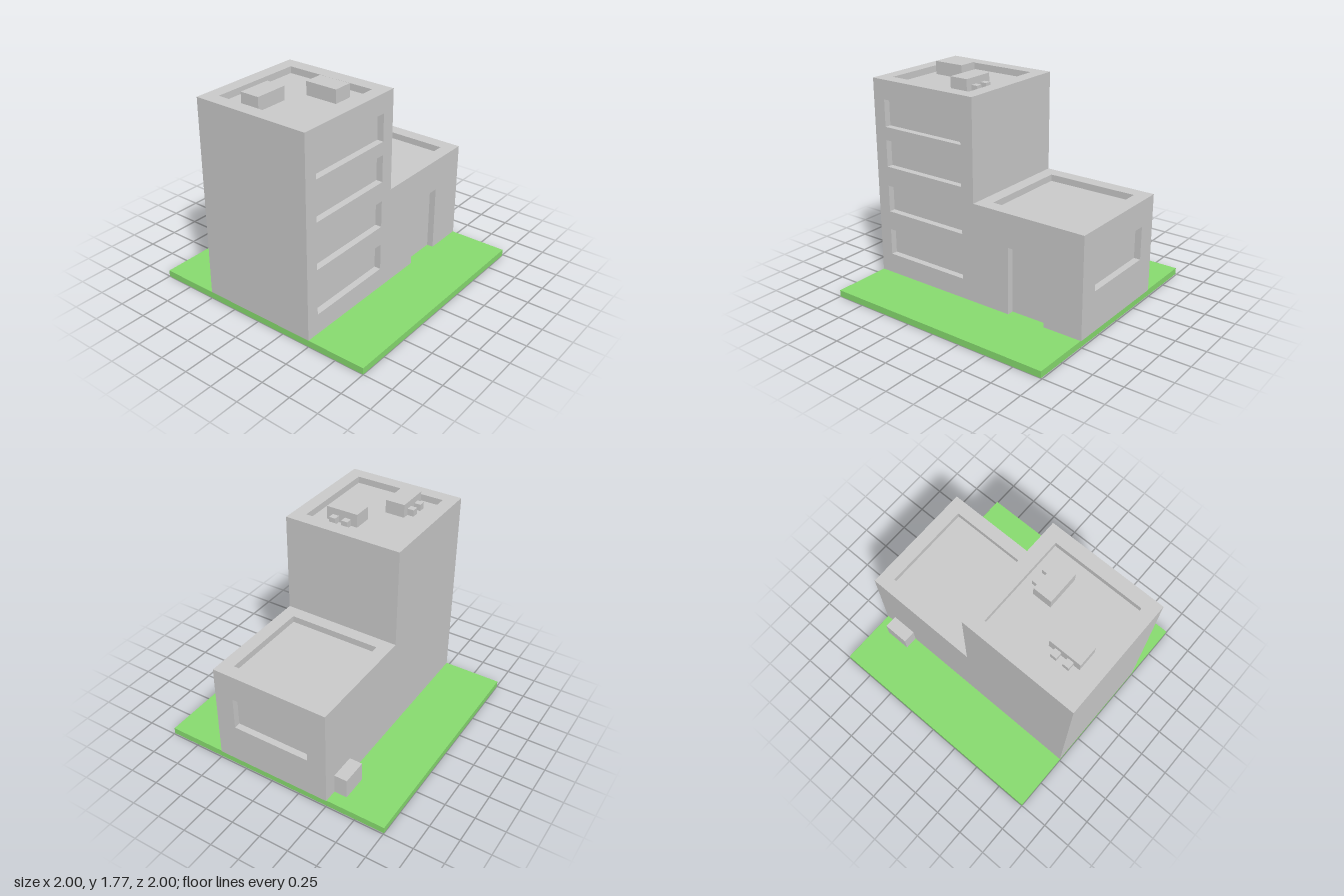
import * as THREE from 'three';

const grey = new THREE.MeshStandardMaterial({ color: 0xcccccc });
const green = new THREE.MeshStandardMaterial({ color: 0x88dd70 });

const GROUND = 0.055, DEPTH = 0.055;      // lawn top, depth of every recess
const TOWER = 1.72, ANNEX = 0.89;         // roof rim heights
const LEFT = -1, MID = 0, RIGHT = 0.995;  // x limits of the two blocks
const HALF = 0.5;                         // half depth of the building

const rectPoints = ([x0, x1, y0, y1]) =>
  [[x0, y0], [x1, y0], [x1, y1], [x0, y1]].map(p => new THREE.Vector2(...p));

function box(name, [x0, x1], [y0, y1], [z0, z1], material = grey) {
  const mesh = new THREE.Mesh(new THREE.BoxGeometry(x1 - x0, y1 - y0, z1 - z0), material);
  mesh.position.set((x0 + x1) / 2, (y0 + y1) / 2, (z0 + z1) / 2);
  mesh.name = name;
  return mesh;
}

// Inward-facing tray sunk behind z = 0, open at the front (and optionally below)
function recess(name, [x0, x1, y0, y1], openBelow = false) {
  const geo = new THREE.BoxGeometry(x1 - x0, y1 - y0, DEPTH);
  const index = Array.from(geo.index.array);
  const omitted = openBelow ? [3, 4] : [4];
  geo.setIndex(index.filter((_, i) => !omitted.includes(Math.floor(i / 6))));
  geo.clearGroups();
  geo.scale(-1, 1, 1);
  geo.computeVertexNormals();
  const mesh = new THREE.Mesh(geo, grey);
  mesh.position.set((x0 + x1) / 2, (y0 + y1) / 2, -DEPTH / 2);
  mesh.name = name;
  return mesh;
}

// Flat face in local xy looking along +z, with rectangular recesses cut in it
function panel(name, points, holes = [], holeName = 'window') {
  const group = new THREE.Group();
  group.name = name;
  const shape = new THREE.Shape(points);
  holes.forEach(h => {
    shape.holes.push(new THREE.Path(rectPoints(h)));
    group.add(recess(holeName, h));
  });
  const face = new THREE.Mesh(new THREE.ShapeGeometry(shape), grey);
  face.name = name + 'Face';
  group.add(face);
  return group;
}

// Rooftop box with two small vents on one side
function roofUnit(x, z, vents) {
  const group = new THREE.Group();
  group.name = 'roofUnit';
  const y = TOWER - DEPTH;
  group.add(box('unitBody', x, [y, 1.775], z));
  vents.forEach(([vx, vz]) => group.add(box('vent', [vx, vx + 0.055], [y, y + 0.055], [vz, vz + 0.055])));
  return group;
}

export function createModel() {
  const model = new THREE.Group();
  model.name = 'building';

  model.add(box('lawn', [-1, 0.99], [0, GROUND], [-1, 1], green));

  // Front: stepped outline with a door notch and four window bands
  const door = [0.33, 0.66, GROUND, 0.615];
  const outline = [
    [LEFT, GROUND], [door[0], GROUND], [door[0], door[3]], [door[1], door[3]], [door[1], GROUND],
    [RIGHT, GROUND], [RIGHT, ANNEX], [MID, ANNEX], [MID, TOWER], [LEFT, TOWER],
  ].map(p => new THREE.Vector2(...p));
  const bands = [[0.225, 0.45], [0.61, 0.835], [1.0, 1.225], [1.335, 1.56]];
  const front = panel('frontWall', outline, bands.map(([a, b]) => [-0.89, -0.115, a, b]));
  front.add(recess('doorway', door, true));
  front.position.z = HALF;
  model.add(front);

  // Back: plain stepped outline, mirrored in x by the half turn
  const back = panel('backWall', [
    [-RIGHT, GROUND], [-LEFT, GROUND], [-LEFT, TOWER], [-MID, TOWER], [-MID, ANNEX], [-RIGHT, ANNEX],
  ].map(p => new THREE.Vector2(...p)));
  back.rotation.y = Math.PI;
  back.position.z = -HALF;
  model.add(back);

  // Side walls
  const sides = [
    ['annexSideWall', RIGHT, 1, GROUND, ANNEX, [[-0.335, 0.335, 0.39, 0.67]]],
    ['towerInnerWall', MID, 1, ANNEX, TOWER, []],
    ['towerOuterWall', LEFT, -1, GROUND, TOWER, []],
  ];
  for (const [name, x, dir, y0, y1, holes] of sides) {
    const wall = panel(name, rectPoints([-HALF, HALF, y0, y1]), holes);
    wall.rotation.y = dir * Math.PI / 2;
    wall.position.x = x;
    model.add(wall);
  }

  // Roofs with sunken decks
  const roofs = [
    ['towerRoof', LEFT, MID, TOWER, [-0.89, -0.115, -0.39, 0.39]],
    ['annexRoof', MID, RIGHT, ANNEX, [0.105, 0.88, -0.39, 0.39]],
  ];
  for (const [name, x0, x1, y, deck] of roofs) {
    const roof = panel(name, rectPoints([x0, x1, -HALF, HALF]), [deck], 'roofDeck');
    roof.rotation.x = -Math.PI / 2;
    roof.position.y = y;
    model.add(roof);
  }

  // Equipment
  model.add(roofUnit([-0.835, -0.56], [-0.225, -0.06], [[-0.78, -0.28], [-0.67, -0.28]]));
  model.add(roofUnit([-0.39, -0.23], [0, 0.275], [[-0.23, 0.055], [-0.23, 0.165]]));
  model.add(box('utilityBox', [0.66, 0.88], [GROUND, 0.225], [-0.61, -HALF]));

  return model;
}
